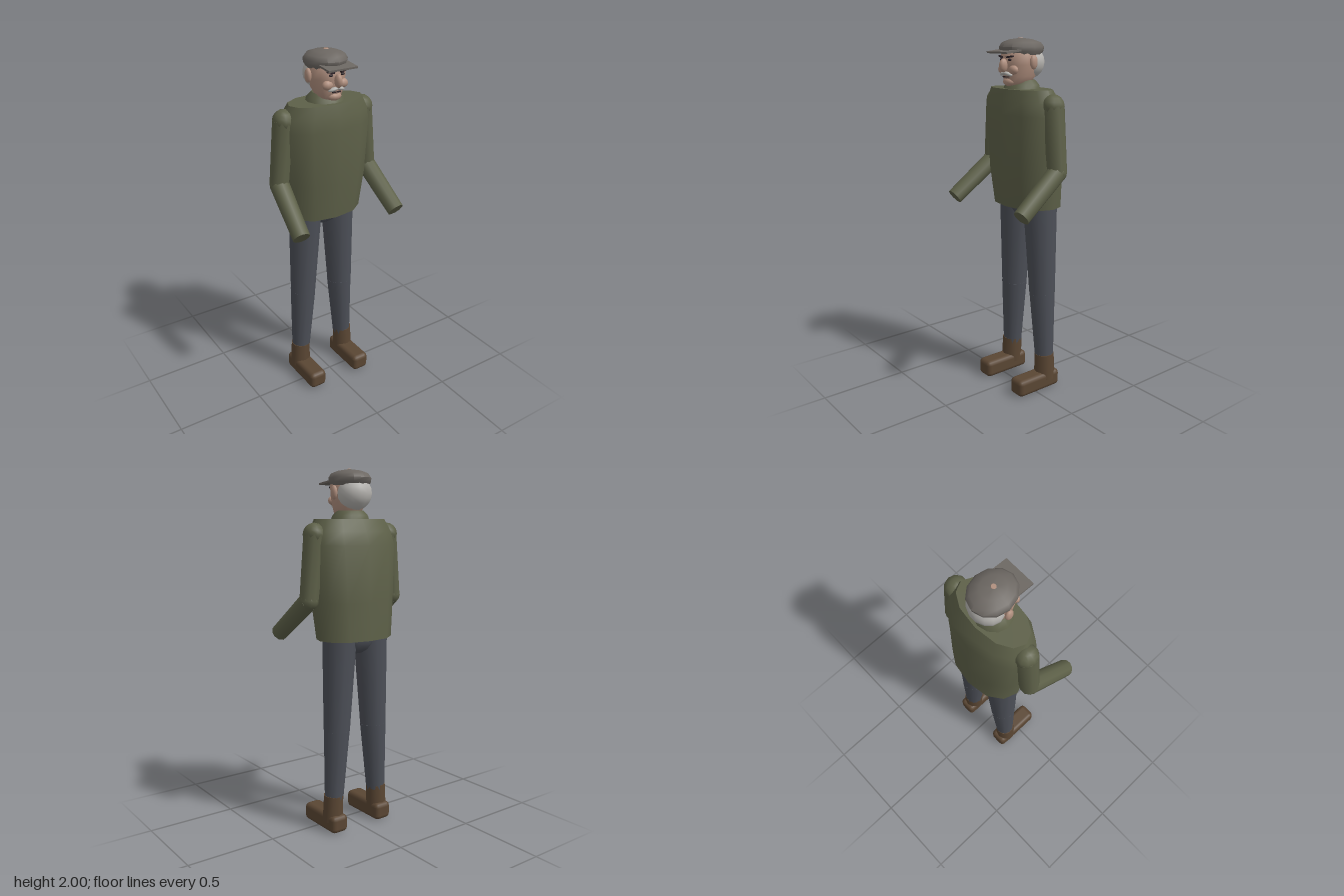
import * as THREE from 'three';
import { toCreasedNormals } from 'three/addons/utils/BufferGeometryUtils.js';
import { RoundedBoxGeometry } from 'three/addons/geometries/RoundedBoxGeometry.js';

const mat = (color) => new THREE.MeshStandardMaterial({ color });
const jacket = mat(0x5d6048), trousers = mat(0x4c4f57), leather = mat(0x5a4633);
const tweed = mat(0x6c6762), skin = mat(0xb08f7e), hairGrey = mat(0xb4b2ae), dark = mat(0x30262a);

// Closed body from rings [y, halfWidth, zBack, zFront]
function loft(rings, sides = 12, power = 1, crease = 0.75) {
  const pos = [], index = [];
  for (const [y, rx, zBack, zFront] of rings) {
    for (let i = 0; i < sides; i++) {
      const a = (i / sides) * Math.PI * 2, s = Math.sin(a);
      pos.push(Math.sign(s) * Math.abs(s) ** power * rx, y,
        (zFront + zBack) / 2 + Math.cos(a) * (zFront - zBack) / 2);
    }
  }
  for (let r = 0; r < rings.length - 1; r++) {
    for (let i = 0; i < sides; i++) {
      const a = r * sides + i, b = r * sides + (i + 1) % sides;
      index.push(a, b, b + sides, a, b + sides, a + sides);
    }
  }
  const top = (rings.length - 1) * sides;
  for (let i = 1; i < sides - 1; i++) {
    index.push(0, i + 1, i, top, top + i, top + i + 1);
  }
  const g = new THREE.BufferGeometry();
  g.setAttribute('position', new THREE.Float32BufferAttribute(pos, 3));
  g.setIndex(index);
  return toCreasedNormals(g, crease);
}

function add(parent, name, geometry, material, x = 0, y = 0, z = 0) {
  const mesh = new THREE.Mesh(geometry, material);
  mesh.name = name;
  mesh.position.set(x, y, z);
  parent.add(mesh);
  return mesh;
}

function ball(parent, name, material, p, r, w = 10, h = 8) {
  const mesh = add(parent, name, new THREE.SphereGeometry(1, w, h), material, ...p);
  mesh.scale.set(...r);
  return mesh;
}

// Tapered limb running from point a to point b
function limb(parent, name, material, a, b, ra, rb, sides = 10) {
  const from = new THREE.Vector3(...a), to = new THREE.Vector3(...b);
  const dir = to.clone().sub(from);
  const mesh = add(parent, name, new THREE.CylinderGeometry(rb, ra, dir.length(), sides), material);
  mesh.position.copy(from).add(to).multiplyScalar(0.5);
  mesh.quaternion.setFromUnitVectors(new THREE.Vector3(0, 1, 0), dir.normalize());
  return mesh;
}

function group(parent, name) {
  const g = new THREE.Group();
  g.name = name;
  parent.add(g);
  return g;
}

export function createModel() {
  const model = new THREE.Group();
  model.name = 'standingManInFlatCap';

  // Jacket body, collar and pelvis
  add(model, 'jacketBody', loft([
    [1.09, 0.228, -0.235, 0.07], [1.3, 0.25, -0.23, 0.095],
    [1.6, 0.268, -0.215, 0.1], [1.67, 0.255, -0.19, 0.093], [1.735, 0.222, -0.155, 0.075],
  ], 12, 0.85), jacket);
  add(model, 'collar', loft([
    [1.72, 0.112, -0.145, 0.06], [1.755, 0.1, -0.135, 0.045], [1.78, 0.075, -0.11, 0.02],
  ]), jacket);
  ball(model, 'pelvis', trousers, [0, 1.1, -0.09], [0.13, 0.1, 0.1]);

  // Head
  const head = group(model, 'head');
  add(head, 'face', loft([
    [1.745, 0.045, -0.07, 0.035], [1.762, 0.065, -0.09, 0.06], [1.8, 0.082, -0.12, 0.066],
    [1.86, 0.096, -0.13, 0.07], [1.92, 0.098, -0.135, 0.076], [1.97, 0.06, -0.1, 0.02],
  ], 14, 1, 1.2), skin);
  ball(head, 'hair', hairGrey, [0, 1.872, -0.082], [0.1, 0.092, 0.088], 14, 10);
  ball(head, 'nose', skin, [0, 1.858, 0.08], [0.019, 0.036, 0.027]);
  add(head, 'mouth', new THREE.BoxGeometry(0.05, 0.006, 0.01), dark, 0, 1.798, 0.063);
  ball(head, 'chin', skin, [0, 1.772, 0.045], [0.04, 0.023, 0.026]);
  for (const s of [1, -1]) {
    const side = s > 0 ? 'left' : 'right';
    ball(head, side + 'Ear', skin, [s * 0.105, 1.875, -0.04], [0.016, 0.038, 0.024]);
    ball(head, side + 'Cheek', skin, [s * 0.045, 1.835, 0.05], [0.032, 0.025, 0.022]);
    ball(head, side + 'Eye', dark, [s * 0.035, 1.887, 0.066], [0.013, 0.007, 0.008], 8, 6);
    const brow = add(head, side + 'Brow', new THREE.BoxGeometry(0.042, 0.009, 0.014), dark, s * 0.038, 1.903, 0.068);
    brow.rotation.set(0, s * 0.3, s * 0.15);
    const whisker = ball(head, side + 'Moustache', hairGrey, [s * 0.022, 1.814, 0.067], [0.028, 0.01, 0.015]);
    whisker.rotation.set(0, s * 0.3, -s * 0.25);
  }

  // Flat cap with peak and button
  const cap = group(model, 'cap');
  add(cap, 'capCrown', loft([
    [1.912, 0.1, -0.15, 0.065], [1.93, 0.109, -0.165, 0.08], [1.952, 0.112, -0.17, 0.086],
    [1.975, 0.098, -0.15, 0.07], [1.99, 0.06, -0.105, 0.03], [1.997, 0.015, -0.055, -0.02],
  ], 12, 1, 0.9), tweed);
  const peak = add(cap, 'capPeak', new THREE.BoxGeometry(0.174, 0.01, 0.11), tweed, 0, 1.931, 0.071);
  peak.rotation.x = 0.12;
  add(cap, 'capButton', new THREE.CylinderGeometry(0.012, 0.016, 0.006, 10), skin, 0, 1.997, -0.035);

  for (const s of [1, -1]) {
    const side = s > 0 ? 'left' : 'right';

    // Arm bent forward at the elbow
    const arm = group(model, side + 'Arm');
    const shoulder = [s * 0.245, 1.655, -0.057], elbow = [s * 0.283, 1.31, -0.058];
    ball(arm, 'shoulder', jacket, shoulder, [0.06, 0.062, 0.063]);
    limb(arm, 'upperArm', jacket, shoulder, elbow, 0.06, 0.053);
    ball(arm, 'elbow', jacket, elbow, [0.053, 0.053, 0.053]);
    limb(arm, 'forearm', jacket, elbow, [s * 0.308, 1.108, 0.205], 0.053, 0.047);

    // Leg
    const leg = group(model, side + 'Leg');
    const knee = [s * 0.129, 0.58, -0.093];
    limb(leg, 'thigh', trousers, [s * 0.106, 1.12, -0.09], knee, 0.096, 0.074, 12);
    limb(leg, 'shin', trousers, knee, [s * 0.152, 0.15, -0.095], 0.074, 0.052, 12);

    // Boot
    const boot = group(model, side + 'Boot');
    limb(boot, 'bootShaft', leather, [s * 0.158, 0.055, -0.093], [s * 0.152, 0.205, -0.094], 0.06, 0.057);
    add(boot, 'shoe', new RoundedBoxGeometry(0.106, 0.1, 0.295, 2, 0.026), leather, s * 0.155, 0.05, -0.0225);
  }
  return model;
}
